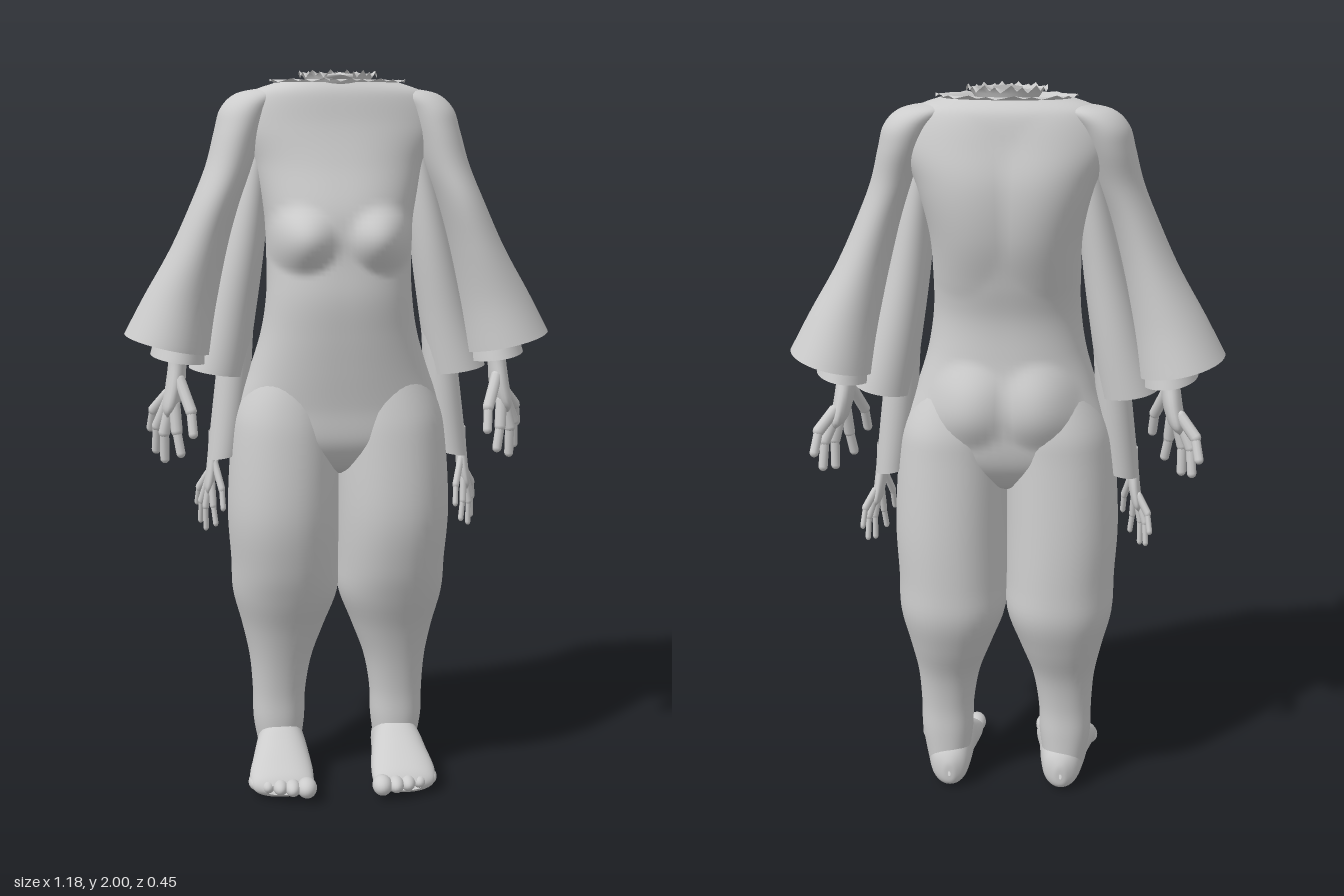
import * as THREE from 'three';

const skin = new THREE.MeshStandardMaterial({ color: 0xcccccc, side: THREE.DoubleSide });
skin.name = 'plain grey';

function add(parent, name, geometry, x = 0, y = 0, z = 0) {
  const mesh = new THREE.Mesh(geometry, skin);
  mesh.name = name;
  mesh.position.set(x, y, z);
  parent.add(mesh);
  return mesh;
}

// Smooth skin over rows of [cx, y, cz, rx, rz, tilt], listed from top to bottom
function loft(rows, power = 2, cols = 40, steps = 5) {
  const at = (i, k) => rows[Math.min(Math.max(i, 0), rows.length - 1)][k] ?? 0;
  const spline = (i, t, k) => {
    const [a, b, c, d] = [at(i - 1, k), at(i, k), at(i + 1, k), at(i + 2, k)];
    return b + 0.5 * t * (c - a + t * (2 * a - 5 * b + 4 * c - d + t * (3 * (b - c) + d - a)));
  };
  const bend = v => Math.sign(v) * Math.abs(v) ** (2 / power);
  const pos = [], index = [];
  const count = (rows.length - 1) * steps;
  for (let n = 0; n <= count; n++) {
    const i = Math.min(Math.floor(n / steps), rows.length - 2), t = n / steps - i;
    const [cx, y, cz, rx, rz, tilt] = [0, 1, 2, 3, 4, 5].map(k => spline(i, t, k));
    for (let j = 0; j < cols; j++) {
      const a = (j / cols) * Math.PI * 2;
      const dx = rx * bend(Math.cos(a));
      pos.push(cx + dx, y + tilt * dx, cz + rz * bend(Math.sin(a)));
      if (n === count) continue;
      const p = n * cols + j, q = n * cols + ((j + 1) % cols);
      index.push(p, q, p + cols, q, q + cols, p + cols);
    }
  }
  const g = new THREE.BufferGeometry();
  g.setAttribute('position', new THREE.Float32BufferAttribute(pos, 3));
  g.setIndex(index);
  g.computeVertexNormals();
  return g;
}

// Move every vertex by a rule
function reshape(g, rule) {
  const p = g.attributes.position, v = new THREE.Vector3();
  for (let i = 0; i < p.count; i++) {
    rule(v.fromBufferAttribute(p, i), i);
    p.setXYZ(i, v.x, v.y, v.z);
  }
  g.computeVertexNormals();
  return g;
}

// Rounded rod between two points
function rod(parent, name, from, to, r) {
  const a = new THREE.Vector3(...from), b = new THREE.Vector3(...to);
  const d = b.clone().sub(a);
  const m = add(parent, name, new THREE.CapsuleGeometry(r, d.length(), 5, 10));
  m.position.copy(a).addScaledVector(d, 0.5);
  m.quaternion.setFromUnitVectors(new THREE.Vector3(0, 1, 0), d.normalize());
}

// Hand hanging from a wrist at the origin, thumb forward
function hand(name) {
  const g = new THREE.Group();
  g.name = name;
  add(g, 'palm', loft([
    [-0.005, 0.06, 0, 0.026, 0.032], [0, 0, 0, 0.025, 0.034],
    [0.008, -0.07, -0.005, 0.027, 0.055], [0.022, -0.13, -0.01, 0.023, 0.062],
    [0.03, -0.155, -0.01, 0.005, 0.035],
  ], 2, 20));
  const fingers = [
    [[-0.005, -0.05, 0.03], [-0.035, -0.13, 0.075], [-0.04, -0.19, 0.095]],
    [[0.01, -0.12, 0.03], [0.005, -0.19, 0.045], [-0.005, -0.25, 0.055]],
    [[0.022, -0.125, 0.005], [0.04, -0.2, 0.005], [0.04, -0.275, 0]],
    [[0.03, -0.12, -0.025], [0.06, -0.19, -0.045], [0.065, -0.26, -0.06]],
    [[0.03, -0.1, -0.05], [0.07, -0.15, -0.08], [0.08, -0.205, -0.105]],
  ];
  for (const [base, joint, tip] of fingers) {
    rod(g, 'finger', base, joint, 0.016);
    rod(g, 'fingertip', joint, tip, 0.013);
  }
  return g;
}

function makeSide(name) {
  const s = new THREE.Group();
  s.name = name;

  // Leg
  add(s, 'leg', loft([
    [0.12, 1.22, -0.02, 0.1, 0.12], [0.142, 1.1, -0.025, 0.138, 0.158],
    [0.15, 1.0, -0.022, 0.15, 0.172], [0.156, 0.8, -0.024, 0.156, 0.188],
    [0.152, 0.65, -0.039, 0.152, 0.18], [0.151, 0.55, -0.055, 0.149, 0.164],
    [0.157, 0.45, -0.06, 0.118, 0.128], [0.165, 0.35, -0.055, 0.089, 0.094],
    [0.17, 0.25, -0.055, 0.076, 0.077], [0.171, 0.17, -0.057, 0.074, 0.076],
    [0.17, 0.11, -0.06, 0.066, 0.074], [0.168, 0.06, -0.065, 0.058, 0.07],
  ], 2.15));

  // Foot runs from toes to heel, then is laid along z
  add(s, 'foot', loft([
    [0.172, 0.185, -0.035, 0.05, 0.015], [0.172, 0.165, -0.039, 0.083, 0.032],
    [0.173, 0.12, -0.05, 0.09, 0.047], [0.17, 0.06, -0.067, 0.082, 0.064],
    [0.168, 0, -0.083, 0.072, 0.08], [0.165, -0.07, -0.08, 0.064, 0.077],
    [0.162, -0.125, -0.065, 0.05, 0.06], [0.161, -0.15, -0.055, 0.022, 0.035],
    [0.161, -0.154, -0.052, 0.004, 0.008],
  ], 2.2).rotateX(Math.PI / 2));
  for (let i = 0; i < 5; i++) {
    const r = i ? 0.023 - i * 0.0007 : 0.028;
    add(s, 'toe', new THREE.SphereGeometry(1, 20, 14),
      0.106 + i * 0.034 + (i ? 0.005 : 0), 0.04, 0.186 - i * i * 0.0035).scale.set(r, r, 0.038);
  }

  // Outer bell sleeve, cuff, forearm and hand
  add(s, 'sleeve', loft([
    [0.18, 1.955, -0.06, 0.02, 0.03], [0.205, 1.94, -0.058, 0.07, 0.078],
    [0.245, 1.9, -0.052, 0.073, 0.1], [0.268, 1.84, -0.042, 0.068, 0.105],
    [0.295, 1.75, -0.025, 0.065, 0.1], [0.335, 1.65, -0.014, 0.066, 0.106],
    [0.38, 1.53, -0.017, 0.077, 0.112], [0.432, 1.385, -0.028, 0.1, 0.128, 0.15],
    [0.468, 1.265, -0.035, 0.122, 0.155, 0.23],
  ]));
  add(s, 'innerCuff', loft([
    [0.38, 1.5, -0.03, 0.05, 0.06], [0.425, 1.33, -0.035, 0.068, 0.1],
    [0.44, 1.225, -0.035, 0.08, 0.132, 0.15],
  ]));
  add(s, 'forearm', loft([
    [0.36, 1.55, -0.03, 0.04, 0.045], [0.41, 1.38, -0.02, 0.035, 0.04],
    [0.44, 1.24, -0.01, 0.026, 0.034],
  ], 2, 20));
  const outer = hand('outerHand');
  outer.position.set(0.445, 1.22, -0.01);
  s.add(outer);

  // Second sleeve and lower hand, between the bell sleeve and the body
  add(s, 'innerSleeve', loft([
    [0.215, 1.8, -0.045, 0.035, 0.06], [0.255, 1.55, -0.035, 0.055, 0.07],
    [0.3, 1.33, -0.04, 0.07, 0.08], [0.335, 1.185, -0.04, 0.08, 0.09, 0.15],
  ]));
  add(s, 'lowerSleeve', loft([
    [0.28, 1.3, -0.04, 0.045, 0.055], [0.297, 1.12, -0.035, 0.05, 0.06],
    [0.318, 0.95, -0.03, 0.05, 0.062, -0.2],
  ], 2, 24));
  const inner = hand('innerHand');
  inner.position.set(0.35, 0.97, -0.03);
  inner.scale.set(0.6, 0.83, 0.7);
  s.add(inner);
  return s;
}

export function createModel() {
  const model = new THREE.Group();
  model.name = 'headlessFigure';

  // Torso, with soft swells of [x, y, radius x, radius y, front or back, height]
  const swells = [
    [0.113, 1.555, 0.1, 0.09, 1, 0.055],
    [0.13, 1.7, 0.15, 0.24, -1, 0.02],
    [0.095, 1.17, 0.11, 0.12, -1, 0.033],
  ];
  const torso = loft([
    [0, 1.968, -0.04, 0.17, 0.085], [0, 1.935, -0.05, 0.245, 0.112],
    [0, 1.85, -0.053, 0.275, 0.131], [0, 1.75, -0.048, 0.238, 0.155],
    [0, 1.62, -0.024, 0.205, 0.177], [0, 1.5, -0.01, 0.198, 0.17],
    [0, 1.4, 0.004, 0.2, 0.164], [0, 1.3, -0.002, 0.215, 0.162],
    [0, 1.2, -0.015, 0.245, 0.163], [0, 1.1, -0.025, 0.28, 0.16],
    [0, 1.0, -0.022, 0.292, 0.148], [0, 0.93, -0.02, 0.2, 0.1],
    [0, 0.9, -0.02, 0.05, 0.04],
  ], 2.3, 96, 8);
  add(model, 'torso', reshape(torso, v => {
    const facing = Math.sign(v.z + 0.03);
    for (const [x, y, rx, ry, way, height] of swells) {
      const d = ((Math.abs(v.x) - x) / rx) ** 2 + ((v.y - y) / ry) ** 2;
      if (d < 1 && facing === way) v.z += way * height * (1 - d) ** 1.3;
    }
  }));

  // Ragged neck: torn collar and inner stump, both drawn to a point in front
  const ragged = (name, rows, tear) => add(model, name, reshape(loft(rows, 2, 48, 3), (v, i) => {
    if (v.z > -0.03) v.x *= 1 - Math.min(0.45, (v.z + 0.03) * 5);
    if (i < 48) v.y -= tear * ((i * 7) % 5) / 5;
  }));
  ragged('tornCollar', [
    [0, 1.978, -0.035, 0.185, 0.09], [0, 1.965, -0.03, 0.155, 0.08],
    [0, 1.94, -0.025, 0.115, 0.06],
  ], 0.012);
  ragged('neckStump', [
    [0, 2.0, -0.015, 0.11, 0.065], [0, 1.965, -0.015, 0.085, 0.052],
    [0, 1.92, -0.02, 0.06, 0.04],
  ], 0.025);
  const shard = new THREE.ConeGeometry(0.045, 0.11, 6).rotateX(Math.PI / 2).scale(1, 0.25, 1);
  add(model, 'neckShard', shard, 0, 1.983, 0.078);

  const left = makeSide('leftSide');
  const right = makeSide('rightSide');
  right.scale.x = -1;
  model.add(left, right);
  return model;
}
